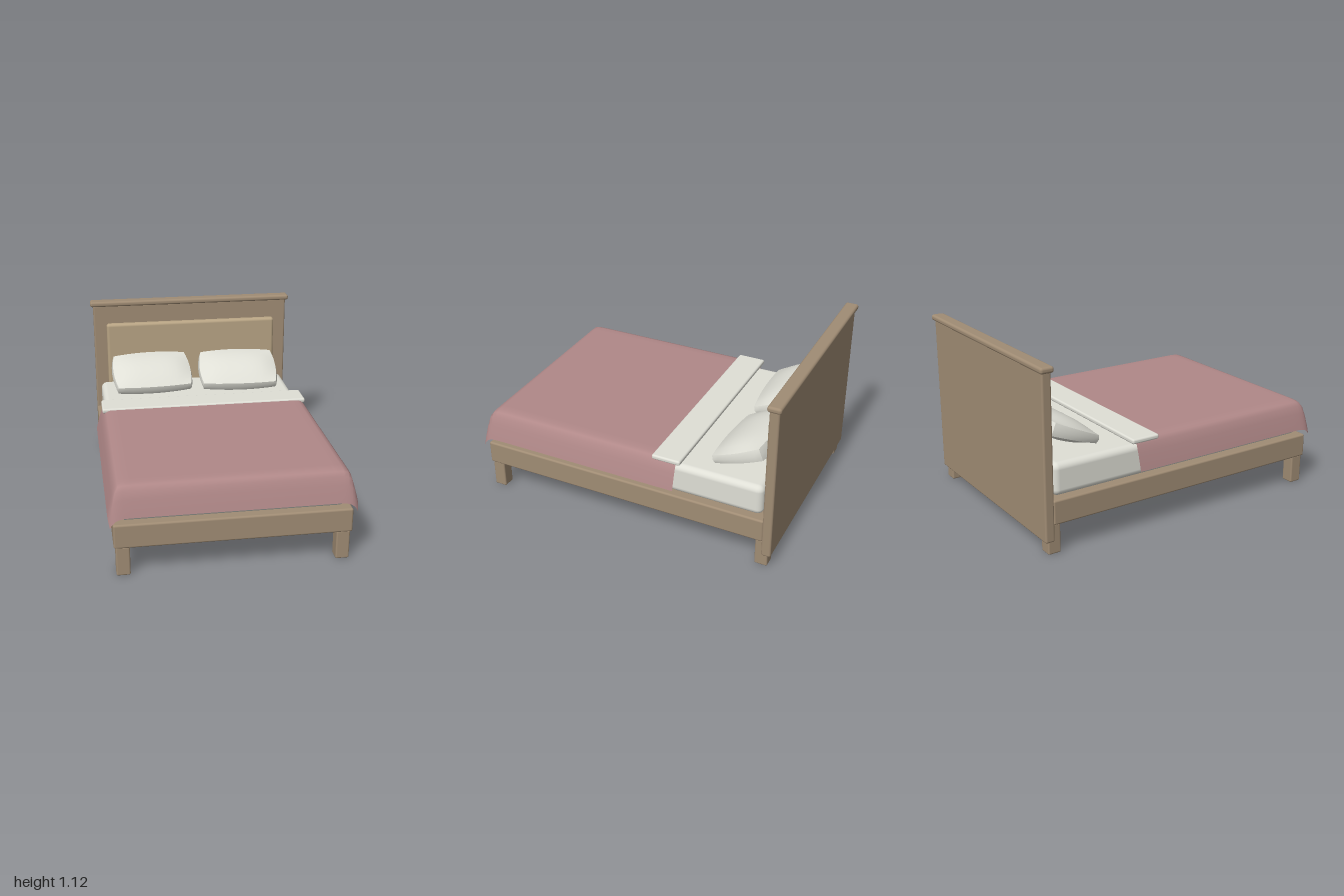
import * as THREE from 'three';
import { toCreasedNormals } from 'three/addons/utils/BufferGeometryUtils.js';
import { RoundedBoxGeometry } from 'three/addons/geometries/RoundedBoxGeometry.js';

const mat = (color, side = THREE.FrontSide) => new THREE.MeshStandardMaterial({ color, side });

export function createModel() {
  const bed = new THREE.Group();
  bed.name = 'bed';
  const wood = mat(0xa08c74), panelWood = mat(0xb8a484), linen = mat(0xdfdfd6);
  const cloth = mat(0xb08888, THREE.DoubleSide);

  const add = (name, geometry, material) => {
    const mesh = new THREE.Mesh(geometry, material);
    mesh.name = name;
    bed.add(mesh);
    return mesh;
  };
  // Rounded block given by its minimum and maximum corners
  const block = (name, material, [x0, y0, z0], [x1, y1, z1], radius) => {
    const geo = new RoundedBoxGeometry(x1 - x0, y1 - y0, z1 - z0, 3, radius);
    geo.translate((x0 + x1) / 2, (y0 + y1) / 2, (z0 + z1) / 2);
    return add(name, geo, material);
  };

  // Wooden base, headboard and cap
  block('frame', wood, [-0.7, 0.18, -0.93], [0.7, 0.33, 0.97], 0.012);
  block('headboard', wood, [-0.7, 0.08, -0.985], [0.7, 1.09, -0.925], 0.012);
  block('headboardCap', wood, [-0.72, 1.08, -1.0], [0.72, 1.117, -0.915], 0.015);
  block('headboardPanel', panelWood, [-0.61, 0.4, -0.945], [0.61, 0.957, -0.89], 0.02);

  // Four legs
  for (const side of [-1, 1]) {
    for (const [end, z] of [['front', 0.92], ['back', -0.923]]) {
      const x = side * 0.648;
      block(`${end}${side > 0 ? 'Left' : 'Right'}Leg`, wood,
        [x - 0.041, 0, z - 0.041], [x + 0.041, 0.185, z + 0.041], 0.01);
    }
  }

  // Mattress and turned-down sheet
  block('mattress', linen, [-0.665, 0.33, -0.905], [0.665, 0.53, 0.935], 0.04);
  block('sheetFold', linen, [-0.69, 0.545, -0.39], [0.69, 0.576, -0.205], 0.012);

  // Blanket: a sheet draped over three edges, hanging lower at the two front corners
  const drape = [[-0.05, 0], [0, 0], [0.026, 0.009], [0.046, 0.032], [0.062, 0.08], [0.078, 0.135], [0.09, 0.182]];
  const n = drape.length;
  const head = [-0.36, -0.1, 0.2, 0.5, 0.75];
  const cols = 2 * n, rows = head.length + n;
  const blanket = new THREE.PlaneGeometry(1, 1, cols - 1, rows - 1);
  const bp = blanket.attributes.position;
  for (let r = 0; r < rows; r++) {
    for (let c = 0; c < cols; c++) {
      const i = c < n ? n - 1 - c : c - n;
      const j = Math.max(0, r - head.length);
      const side = c < n ? -1 : 1;
      const corner = Math.min(i, j) / (n - 1);
      const x = side * (0.638 + drape[i][0] - 0.012 * corner ** 3);
      const z = r < head.length ? head[r] : 0.905 + drape[j][0] - 0.008 * corner ** 3;
      const y = 0.566 - Math.max(drape[i][1], drape[j][1]) - 0.064 * corner ** 2;
      bp.setXYZ(r * cols + c, x, y, z);
    }
  }
  blanket.computeVertexNormals();
  add('blanket', blanket, cloth);

  // Pillows: boxes with swollen faces, bowed sides and a thinner front edge
  const pillowBox = new THREE.BoxGeometry(2, 2, 2, 10, 2, 8);
  const pp = pillowBox.attributes.position;
  for (let k = 0; k < pp.count; k++) {
    const u = pp.getX(k), s = pp.getY(k), v = pp.getZ(k);
    const swell = (1 - u ** 4) * (1 - v * v);
    const edge = (0.038 - 0.008 * v) * (1 - 0.15 * u * u);
    const rim = 1 + 0.03 * (1 - s * s);
    pp.setXYZ(k,
      0.275 * u * rim * (1 - 0.07 * v * v),
      s * (edge + 0.036 * swell),
      0.178 * v * rim * (1 - 0.09 * u * u));
  }
  const pillowGeo = toCreasedNormals(pillowBox, 0.8);
  for (const side of [-1, 1]) {
    const pillow = add(side > 0 ? 'leftPillow' : 'rightPillow', pillowGeo, linen);
    pillow.position.set(side * 0.31, side > 0 ? 0.63 : 0.637, -0.712);
    pillow.rotation.set(0.4, side * -0.05, 0, 'YXZ');
  }
  return bed;
}
